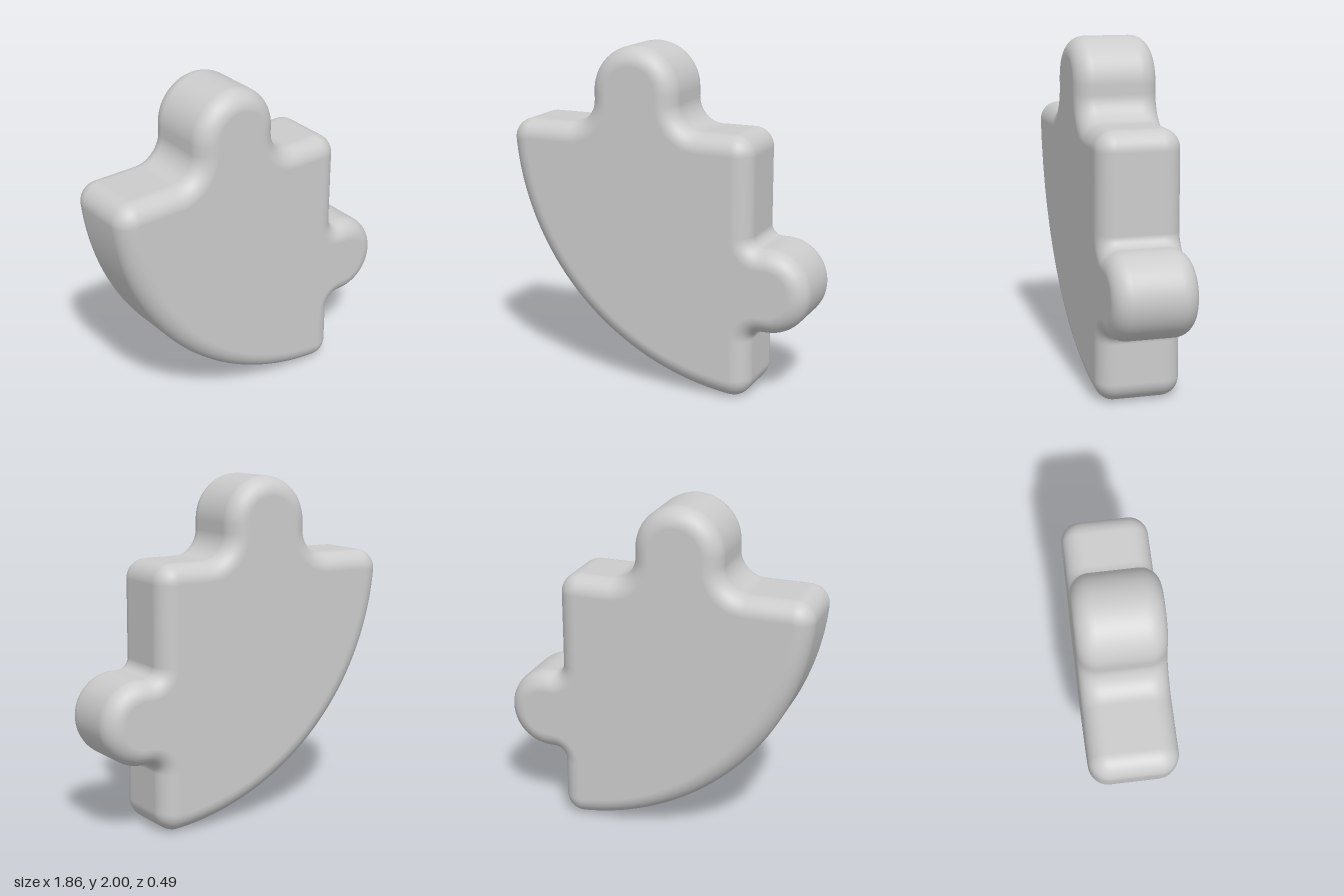
import * as THREE from 'three';

const HALF = 0.245, BEVEL = 0.11, CORNER = 0.115;
const WALL = 0.583, TOP = 1.537;            // straight right and top edges
const BOW = { x: 0.62, y: 1.55, r: 1.555 }; // large curved edge

// Outline as arcs: centre, radius (negative = hollow), start and end angle of the outward normal.
function outlineArcs() {
  const P = Math.PI, Q = P / 2, reach = BOW.r - CORNER;
  // corner circles that touch the curved edge from inside
  const lx = WALL - CORNER, ly = BOW.y - Math.sqrt(reach ** 2 - (BOW.x - lx) ** 2);
  const ty = TOP - CORNER, tx = BOW.x - Math.sqrt(reach ** 2 - (BOW.y - ty) ** 2);
  const low = Math.atan2(ly - BOW.y, lx - BOW.x);
  const left = Math.atan2(ty - BOW.y, tx - BOW.x) + 2 * P;
  const s = 0.06, f = 0.145; // fillets of the side knob and the top knob
  return [
    [lx, ly, CORNER, low, 0, 12],                  // lower corner
    [WALL + s, 0.413 - s, -s, 0, -Q, 10],          // side knob
    [0.68, 0.659, 0.246, -Q, Q, 36],
    [WALL + s, 0.905 + s, -s, Q, 0, 10],
    [WALL - CORNER, TOP - CORNER, CORNER, 0, Q, 12], // upper right corner
    [0.122 + f, TOP + f, -f, Q, 0, 14],            // top knob
    [-0.14, 1.738, 0.262, 0, P, 36],
    [-0.402 - f, TOP + f, -f, P, Q, 14],
    [tx, ty, CORNER, Q, left, 12],                 // upper left corner
    [BOW.x, BOW.y, BOW.r, left + 0.02, low + 2 * P - 0.02, 60], // curved edge
  ];
}

function roundedSlab() {
  const rim = [];
  for (const [cx, cy, r, a, b, n] of outlineArcs()) {
    for (let i = 0; i <= n; i++) {
      const t = a + (b - a) * i / n;
      rim.push({ cx, cy, r, nx: Math.cos(t), ny: Math.sin(t) });
    }
  }
  const inset = d => rim.map(p => new THREE.Vector2(p.cx + (p.r - d) * p.nx, p.cy + (p.r - d) * p.ny));

  // Rings from back to front: rounded edge, straight side, rounded edge
  const pos = [], nor = [], idx = [], N = rim.length, S = 10;
  const rings = [];
  for (let i = 0; i <= S; i++) rings.push([-1, -Math.PI / 2 * (1 - i / S)]);
  for (let i = 0; i <= S; i++) rings.push([1, Math.PI / 2 * i / S]);
  rings.forEach(([side, phi], k) => {
    const c = Math.cos(phi), s = Math.sin(phi);
    inset(BEVEL * (1 - c)).forEach((v, j) => {
      pos.push(v.x, v.y, side * (HALF - BEVEL) + BEVEL * s);
      nor.push(rim[j].nx * c, rim[j].ny * c, s);
      if (k === 0) return;
      const a = (k - 1) * N + j, b = (k - 1) * N + (j + 1) % N;
      idx.push(a, b, b + N, a, b + N, a + N);
    });
  });

  // Flat faces
  const last = (rings.length - 1) * N;
  for (const [a, b, c] of THREE.ShapeUtils.triangulateShape(inset(BEVEL), [])) {
    idx.push(last + a, last + b, last + c, c, b, a);
  }
  const g = new THREE.BufferGeometry();
  g.setAttribute('position', new THREE.Float32BufferAttribute(pos, 3));
  g.setAttribute('normal', new THREE.Float32BufferAttribute(nor, 3));
  g.setIndex(idx);
  return g;
}

export function createModel() {
  const group = new THREE.Group();
  group.name = 'puzzlePiece';
  const body = new THREE.Mesh(roundedSlab(), new THREE.MeshStandardMaterial({ color: 0xcccccc }));
  body.name = 'pieceBody';
  group.add(body);
  return group;
}
